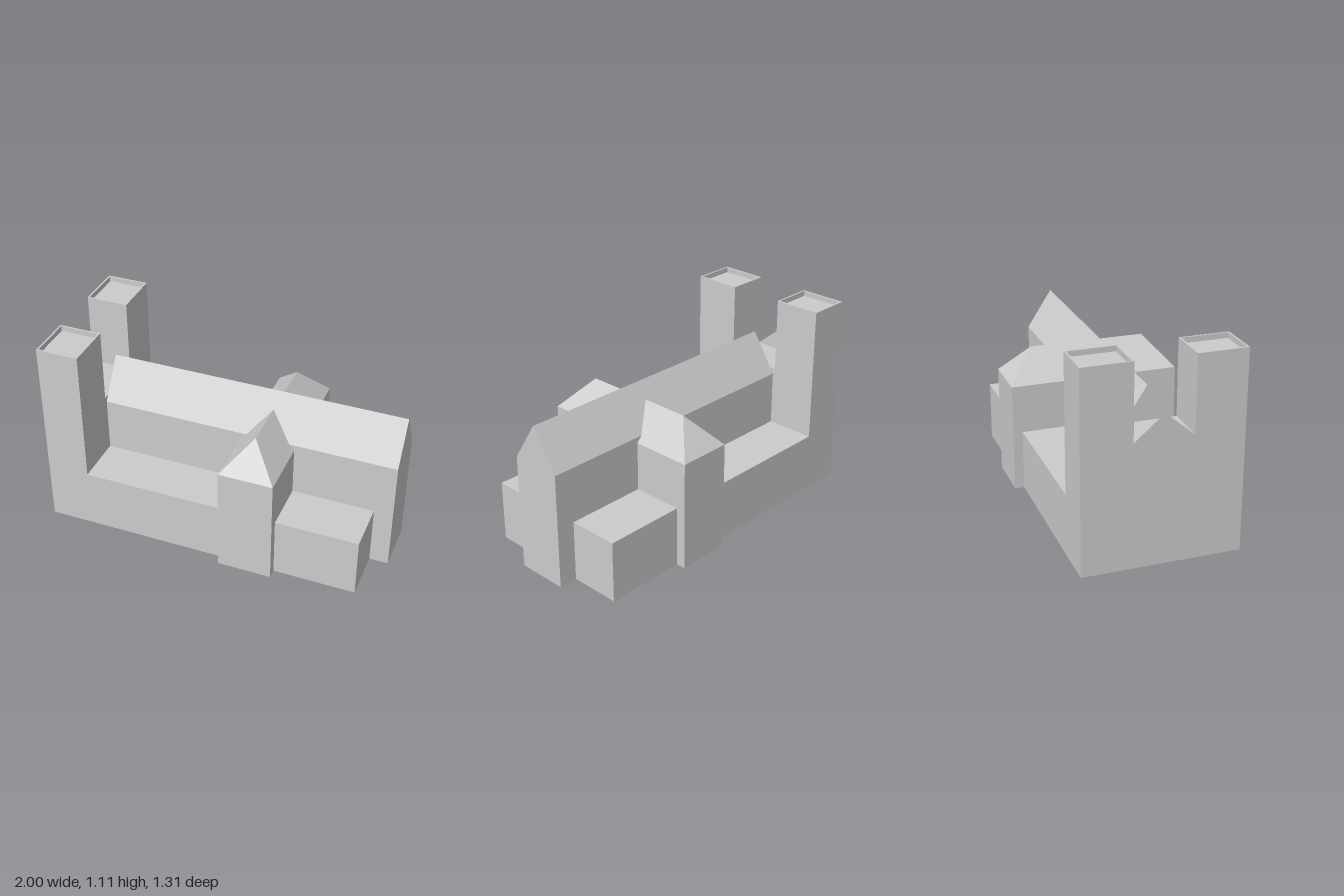
import * as THREE from 'three';

const stone = new THREE.MeshStandardMaterial({ color: 0xcccccc, side: THREE.DoubleSide });
stone.name = 'pale stone';

function mesh(name, geometry) {
  const m = new THREE.Mesh(geometry, stone);
  m.name = name;
  return m;
}

// Box standing on the ground with no underside
function block(name, x0, x1, z0, z1, h) {
  const g = new THREE.BoxGeometry(x1 - x0, h, z1 - z0);
  const index = Array.from(g.index.array);
  index.splice(18, 6);
  g.setIndex(index);
  g.clearGroups();
  g.translate((x0 + x1) / 2, h / 2, (z0 + z1) / 2);
  return mesh(name, g);
}

// Pitched-roof hall along x, open below; inset > 0 gives hipped ends
function hall(name, length, width, eave, ridge, inset) {
  const l = length / 2, w = width / 2;
  const ring = y => [[-l, y, w], [l, y, w], [l, y, -w], [-l, y, -w]];
  const a = ring(0), b = ring(eave);
  const r0 = [-l + inset, ridge, 0], r1 = [l - inset, ridge, 0];
  const faces = [
    [b[0], b[1], r1, r0], [b[2], b[3], r0, r1], // slopes
    [b[1], b[2], r1], [b[3], b[0], r0],         // ends
  ];
  for (let i = 0; i < 4; i++) {
    const j = (i + 1) % 4;
    faces.push([a[i], a[j], b[j], b[i]]);
  }
  const pos = [];
  for (const f of faces) {
    for (let k = 1; k < f.length - 1; k++) pos.push(...f[0], ...f[k], ...f[k + 1]);
  }
  const g = new THREE.BufferGeometry();
  g.setAttribute('position', new THREE.Float32BufferAttribute(pos, 3));
  g.computeVertexNormals();
  return mesh(name, g);
}

// Square ring wall around the tower top
function parapet(x0, x1, z0, z1, y, h, t) {
  const w = (x1 - x0) / 2, d = (z1 - z0) / 2;
  const rect = (a, b) => [[-a, -b], [a, -b], [a, b], [-a, b]].map(p => new THREE.Vector2(...p));
  const shape = new THREE.Shape(rect(w, d));
  shape.holes.push(new THREE.Path(rect(w - t, d - t).reverse()));
  const g = new THREE.ExtrudeGeometry(shape, { depth: h, bevelEnabled: false });
  g.rotateX(-Math.PI / 2);
  g.translate((x0 + x1) / 2, y, (z0 + z1) / 2);
  return mesh('towerParapet', g);
}

export function createModel() {
  const church = new THREE.Group();
  church.name = 'church';
  const west = -0.915, mid = -0.676, east = 0.997;
  const naveHalf = 0.146, outer = 0.431, inner = 0.16;

  // Nave and crossing transept
  const nave = hall('nave', east - mid, naveHalf * 2, 0.655, 0.88, 0);
  nave.position.x = (east + mid) / 2;
  const transept = hall('transept', 0.97, 0.303, 0.622, 0.792, 0.155);
  transept.rotation.y = Math.PI / 2;
  transept.position.x = 0.28;
  church.add(nave, transept);

  // Aisles and west towers on both sides
  for (const s of [-1, 1]) {
    const span = (a, b) => [Math.min(s * a, s * b), Math.max(s * a, s * b)];
    church.add(block('aisle', mid, 0.892, ...span(naveHalf, outer), 0.345));
    const tower = new THREE.Group();
    tower.name = 'tower';
    const z = span(inner, outer);
    tower.add(block('towerShaft', west, mid, ...z, 1.08));
    tower.add(parapet(west, mid, ...z, 1.08, 0.03, 0.01));
    church.add(tower);
  }

  // Flat-roofed porch between the towers, with a thin gable on its west front
  church.add(block('westPorch', west, mid, -inner, inner, 0.69));
  const gable = new THREE.Shape([
    new THREE.Vector2(-inner, 0.69), new THREE.Vector2(inner, 0.69), new THREE.Vector2(0, 0.825),
  ]);
  const gableWall = mesh('westGable', new THREE.ShapeGeometry(gable));
  gableWall.rotation.y = -Math.PI / 2;
  gableWall.position.x = west;
  church.add(gableWall);

  // Turn the whole building off the axes
  const angle = 0.269;
  church.rotation.y = angle;
  church.position.set(-0.008 * Math.sin(angle), 0, -0.008 * Math.cos(angle));
  const model = new THREE.Group();
  model.name = 'building';
  model.add(church);
  return model;
}
